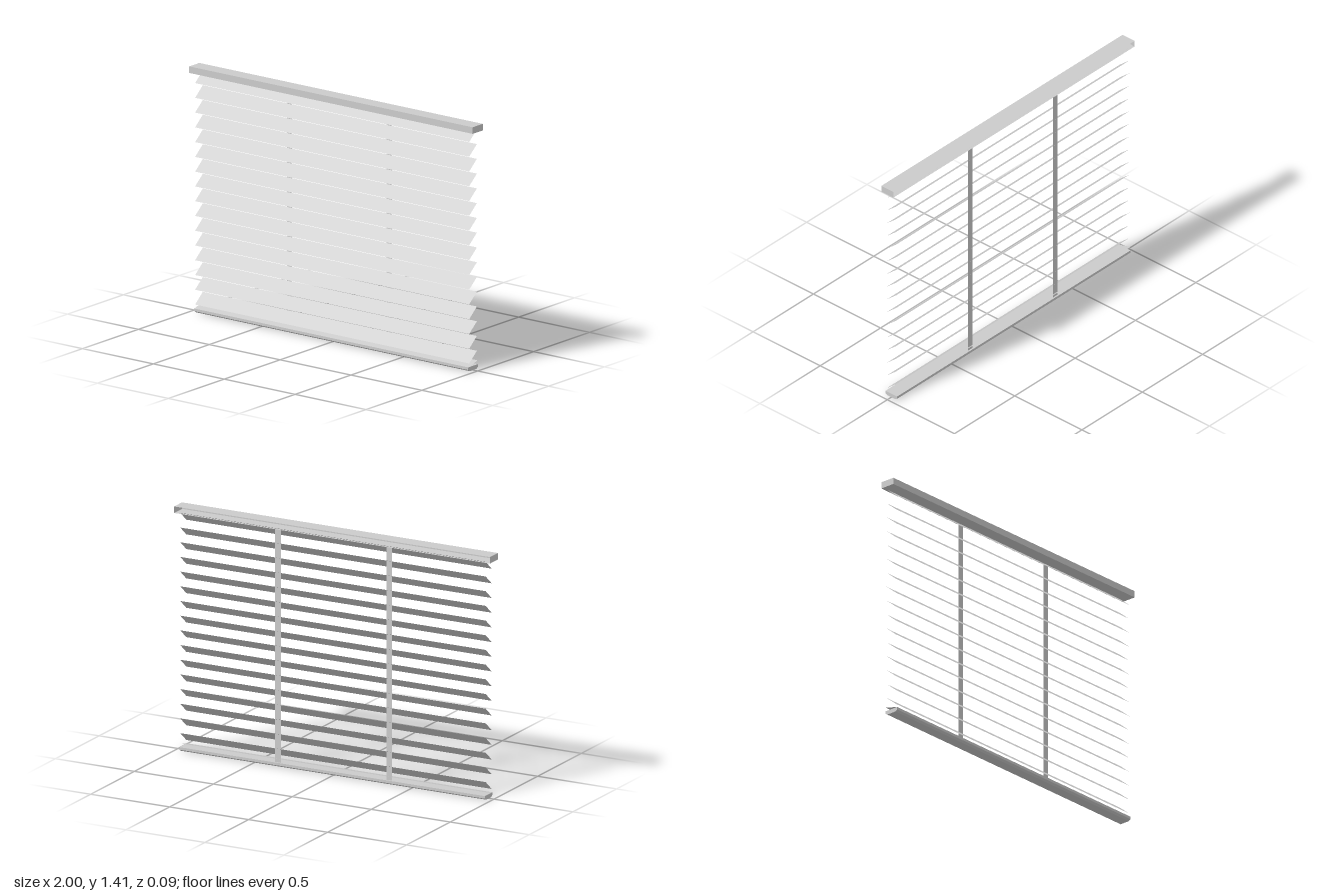
import * as THREE from 'three';

export function createModel() {
  const group = new THREE.Group();
  const material = new THREE.MeshStandardMaterial({
    color: 0xcccccc, flatShading: true, side: THREE.DoubleSide,
  });

  const add = (parent, name, geometry, x = 0, y = 0, z = 0) => {
    const mesh = new THREE.Mesh(geometry, material);
    mesh.name = name;
    mesh.position.set(x, y, z);
    parent.add(mesh);
    return mesh;
  };

  // Thin sheet lying flat, then tipped so its front edge drops
  const sheet = (width, depth, tilt = 0) =>
    new THREE.PlaneGeometry(width, depth).rotateX(-Math.PI / 2 + tilt);

  // Head rail: a channel open at the back
  const railBottom = 1.375, railTop = 1.413, halfDepth = 0.045;
  const railHeight = railTop - railBottom;
  const railMiddle = (railTop + railBottom) / 2;
  const headRail = new THREE.Group();
  headRail.name = 'headRail';
  group.add(headRail);
  add(headRail, 'headRailTop', sheet(2, halfDepth * 2), 0, railTop);
  add(headRail, 'headRailBase', sheet(2, halfDepth * 2), 0, railBottom);
  add(headRail, 'headRailFront', new THREE.PlaneGeometry(2, railHeight), 0, railMiddle, halfDepth);
  for (const side of [-1, 1]) {
    const end = new THREE.PlaneGeometry(halfDepth * 2, railHeight).rotateY(side * Math.PI / 2);
    add(headRail, 'headRailEnd', end, side, railMiddle);
  }

  // Evenly spaced tilted slats
  const slatWidth = 1.934, slatDepth = 0.09, pitch = 0.085;
  const slats = new THREE.Group();
  slats.name = 'slats';
  group.add(slats);
  const slatGeometry = sheet(slatWidth, slatDepth, THREE.MathUtils.degToRad(40));
  for (let i = 0; i < 16; i++) add(slats, 'slat', slatGeometry, 0, 0.074 + i * pitch);

  // Lowest slat rests at a shallow angle on the bottom rail
  add(slats, 'lowestSlat', sheet(slatWidth, 0.086, THREE.MathUtils.degToRad(15)), 0, 0.035);

  // Bottom rail with chamfered underside
  const profile = new THREE.Shape([
    [-0.043, 0.024], [-0.043, 0.009], [-0.03, 0], [0.03, 0], [0.043, 0.009], [0.043, 0.024],
  ].map(([z, y]) => new THREE.Vector2(z, y)));
  const bottomRail = new THREE.ExtrudeGeometry(profile, { depth: slatWidth, bevelEnabled: false });
  bottomRail.translate(0, 0, -slatWidth / 2).rotateY(Math.PI / 2);
  add(group, 'bottomRail', bottomRail);

  // Flat ladder tapes behind the slats
  const tapeBottom = 0.024;
  const tape = new THREE.PlaneGeometry(0.037, railBottom - tapeBottom);
  for (const x of [-0.355, 0.35]) {
    add(group, 'ladderTape', tape, x, (railBottom + tapeBottom) / 2, -0.033);
  }

  return group;
}
